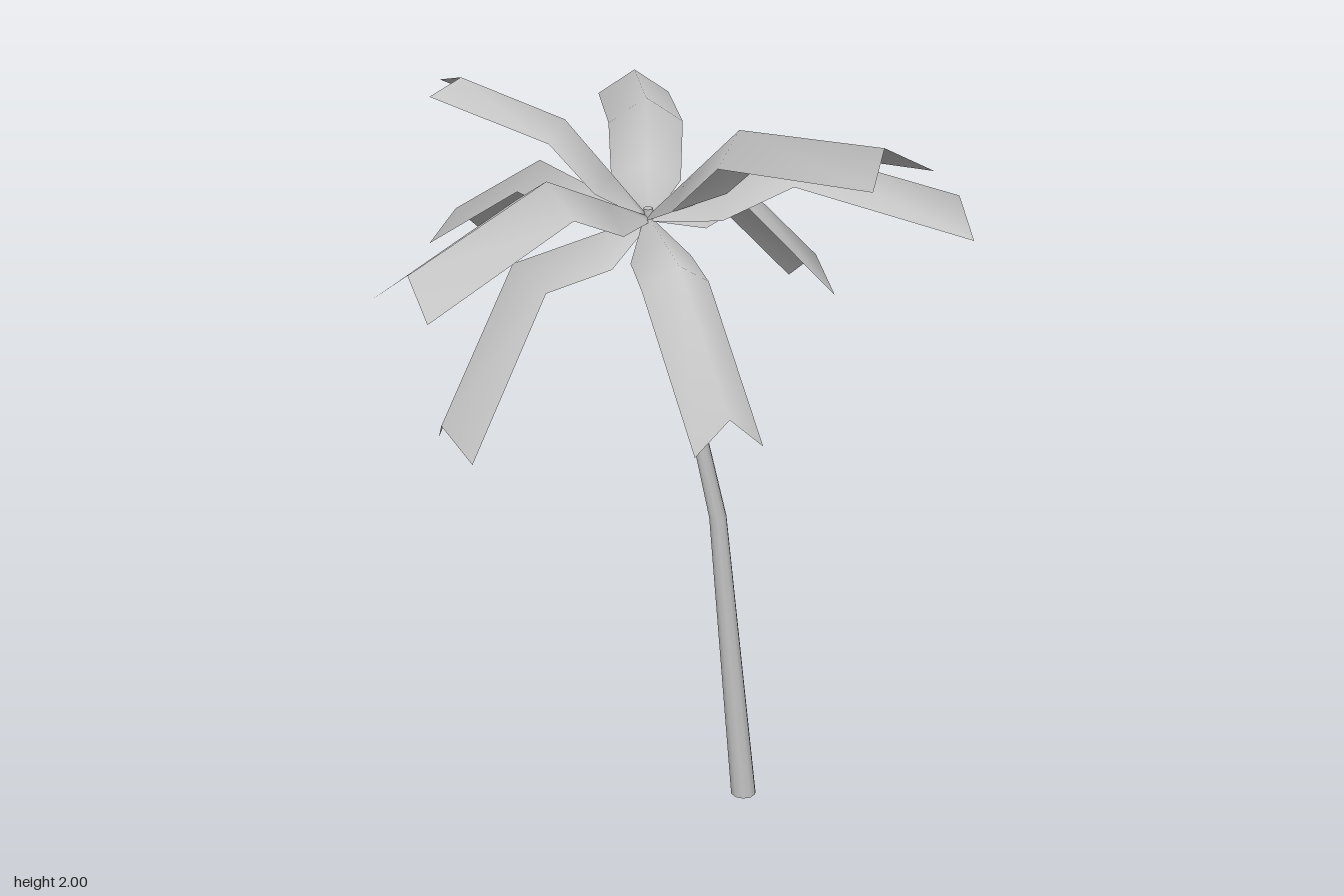
import * as THREE from 'three';

const V = (x, y, z) => new THREE.Vector3(x, y, z);
const CROWN = V(0.04, 1.64, -0.04);

// Each frond: ridge bend, ridge tip, half width
const FRONDS = [
  [[0.10, 1.93, 0.25], [0.175, 2.0, 0.69], 0.1],
  [[-0.07, 1.71, -0.36], [-0.115, 1.48, -0.715], 0.083],
  [[0.22, 1.83, -0.32], [0.425, 1.77, -0.685], 0.094],
  [[0.37, 1.655, -0.165], [0.675, 1.35, -0.195], 0.09],
  [[0.335, 1.81, 0.13], [0.69, 1.68, 0.35], 0.094],
  [[-0.08, 1.64, 0.27], [-0.15, 1.385, 0.58], 0.084],
  [[-0.295, 1.82, 0.04], [-0.715, 1.71, 0.13], 0.098],
  [[-0.305, 1.57, -0.105], [-0.51, 1.19, -0.115], 0.09],
  [[-0.125, 1.885, -0.15], [-0.315, 1.98, -0.31], 0.067],
];

// Folded blade: two edges hang below a central ridge, with a notched tip
function frondGeometry(bendAt, tipAt, halfWidth) {
  const bend = V(...bendAt), tip = V(...tipAt);
  const inner = bend.clone().sub(CROWN).normalize();
  const outer = tip.clone().sub(bend).normalize();
  const side = tip.clone().sub(bend).setY(0).normalize().cross(V(0, 1, 0));
  const normalOf = (d) => side.clone().cross(d).normalize();
  const drop = Math.min(0.07, halfWidth * 0.75);
  const rows = [
    { p: CROWN, d: inner, scale: 0.15, reach: 0 },
    { p: CROWN.clone().lerp(bend, 0.43), d: inner, scale: 0.92, reach: 0 },
    { p: bend, d: inner.clone().add(outer).normalize(), scale: 1, reach: 0 },
    { p: tip, d: outer, scale: 1, reach: 0.05 },
  ];
  const pos = [], index = [];
  rows.forEach(({ p, d, scale, reach }, i) => {
    const n = normalOf(d);
    for (const k of [1, 0, -1]) {
      const q = p.clone();
      if (k) {
        q.addScaledVector(side, k * halfWidth * scale)
          .addScaledVector(n, -drop * scale)
          .addScaledVector(d, reach);
      }
      pos.push(q.x, q.y, q.z);
    }
    if (i === 0) return;
    for (let j = 0; j < 2; j++) {
      const a = (i - 1) * 3 + j, c = i * 3 + j;
      index.push(a, c, a + 1, c, c + 1, a + 1);
    }
  });
  const g = new THREE.BufferGeometry();
  g.setAttribute('position', new THREE.Float32BufferAttribute(pos, 3));
  g.setIndex(index);
  g.computeVertexNormals();
  return g;
}

// Tapering cylinder sheared along a bent centre line
function trunkGeometry() {
  const line = [V(0.24, 0, 0.125), V(0.178, 0.83, 0.076), V(0.04, 1.66, -0.04)];
  const radii = [0.034, 0.023, 0.012];
  const g = new THREE.CylinderGeometry(1, 1, 2, 10, 2);
  const p = g.attributes.position;
  for (let i = 0; i < p.count; i++) {
    const k = Math.round(p.getY(i) + 1);
    p.setXYZ(i, line[k].x + p.getX(i) * radii[k], line[k].y, line[k].z + p.getZ(i) * radii[k]);
  }
  return g;
}

export function createModel() {
  const grey = new THREE.MeshStandardMaterial({ color: 0xc4c4c4, side: THREE.DoubleSide });
  grey.name = 'light grey';

  const tree = new THREE.Group();
  tree.name = 'palmTree';

  const trunk = new THREE.Mesh(trunkGeometry(), grey);
  trunk.name = 'trunk';
  tree.add(trunk);

  const crown = new THREE.Group();
  crown.name = 'crown';
  FRONDS.forEach((f, i) => {
    const frond = new THREE.Mesh(frondGeometry(...f), grey);
    frond.name = `frond${i + 1}`;
    crown.add(frond);
  });
  tree.add(crown);
  return tree;
}
